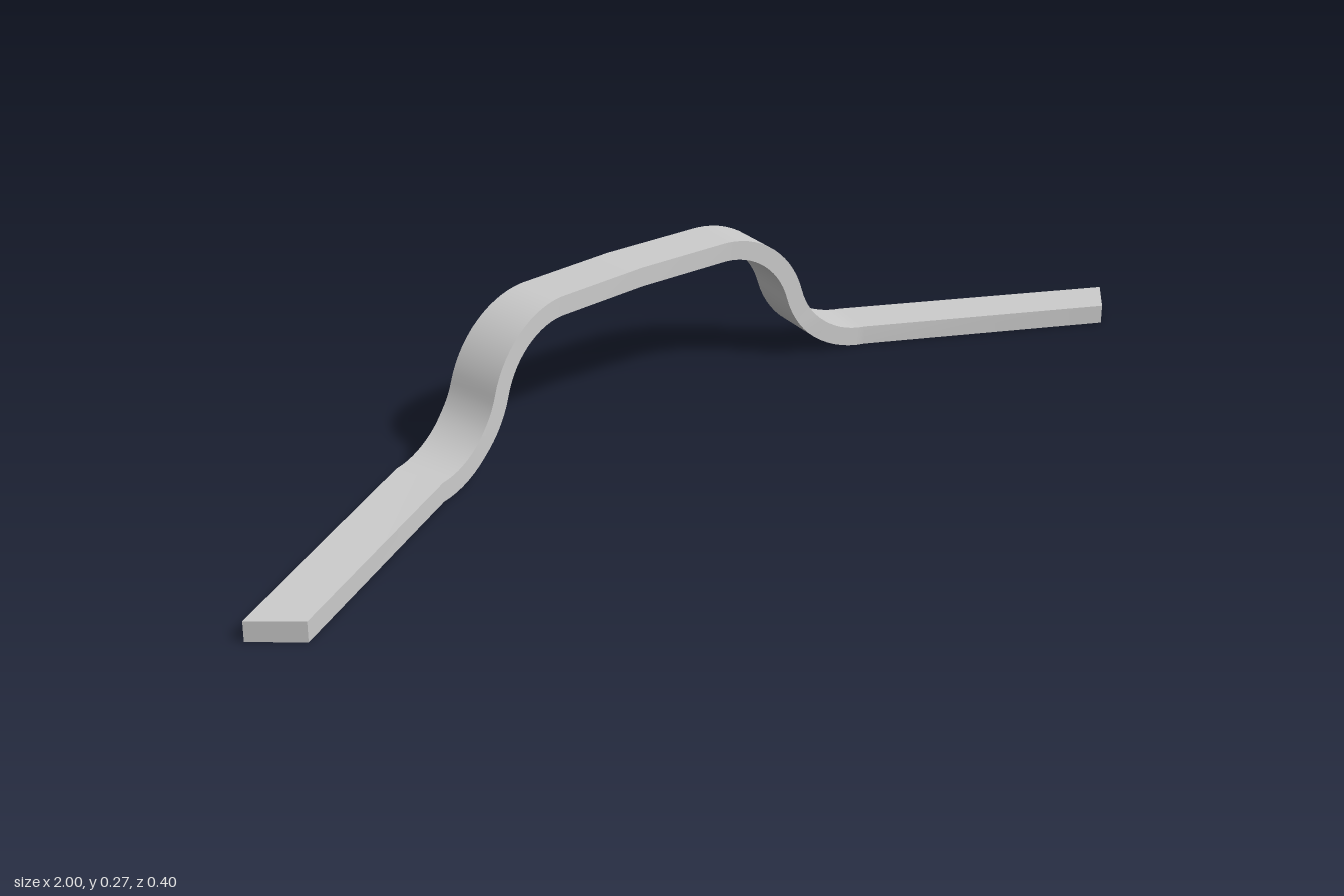
import * as THREE from 'three';
import { toCreasedNormals } from 'three/addons/utils/BufferGeometryUtils.js';

const THICK = 0.036, RISE = 0.234;
const BEND_START = 0.2, BEND_END = 0.515;

// Plan outline of the right half: u along the strip, then front and back edge (x, z)
const PLAN = [
  { u: 0, front: [0, -0.105], back: [0, -0.202] },
  { u: 0.2, front: [0.195, -0.095], back: [0.205, -0.191] },
  { u: 0.4, front: [0.388, -0.065], back: [0.408, -0.165] },
  { u: 0.515, front: [0.502, -0.035], back: [0.53, -0.13] },
  { u: 1, front: [0.927, 0.202], back: [1, 0.136] },
];

function planPoint(u, edge) {
  let i = 0;
  while (i < PLAN.length - 2 && u > PLAN[i + 1].u) i++;
  const a = PLAN[i], b = PLAN[i + 1], t = (u - a.u) / (b.u - a.u);
  return [0, 1].map((k) => THREE.MathUtils.lerp(a[edge][k], b[edge][k], t));
}

// Side profile: raised middle, two opposite arcs, flat leg; each entry is [u, y, slope angle]
function profile() {
  const run = BEND_END - BEND_START, steps = 14;
  const angle = 2 * Math.atan(RISE / run), r = run / (2 * Math.sin(angle));
  const low = THICK / 2, high = low + RISE;
  const upper = [], lower = [];
  for (let i = 0; i <= steps; i++) {
    const a = (angle * i) / steps;
    upper.push([BEND_START + r * Math.sin(a), high - r * (1 - Math.cos(a)), a]);
    if (i < steps) lower.unshift([BEND_END - r * Math.sin(a), low + r * (1 - Math.cos(a)), a]);
  }
  return [[0, high, 0], ...upper, ...lower, [1, low, 0]];
}

// Four corners of the strip's cross-section
function section([u, y, a], side) {
  const corner = (s, edge) => {
    const h = (s * THICK) / 2;
    const [x, z] = planPoint(u + h * Math.sin(a), edge);
    return [side * x, y + h * Math.cos(a), z];
  };
  return [corner(1, 'front'), corner(1, 'back'), corner(-1, 'back'), corner(-1, 'front')];
}

export function createModel() {
  const half = profile();
  const rings = [
    ...half.slice(1).reverse().map((p) => section(p, -1)),
    ...half.map((p) => section(p, 1)),
  ];

  // Skin between neighbouring sections, then the two end caps
  const index = [];
  for (let i = 0; i < rings.length - 1; i++) {
    for (let k = 0; k < 4; k++) {
      const a = i * 4 + k, b = i * 4 + ((k + 1) % 4);
      index.push(a, a + 4, b + 4, a, b + 4, b);
    }
  }
  const e = (rings.length - 1) * 4;
  index.push(0, 1, 2, 0, 2, 3, e, e + 2, e + 1, e, e + 3, e + 2);

  const geometry = new THREE.BufferGeometry();
  geometry.setAttribute('position', new THREE.Float32BufferAttribute(rings.flat(2), 3));
  geometry.setIndex(index);

  const strip = new THREE.Mesh(
    toCreasedNormals(geometry, 0.5),
    new THREE.MeshStandardMaterial({ color: 0xcccccc })
  );
  strip.name = 'bentStrip';

  const group = new THREE.Group();
  group.name = 'bentBracket';
  group.add(strip);
  return group;
}
